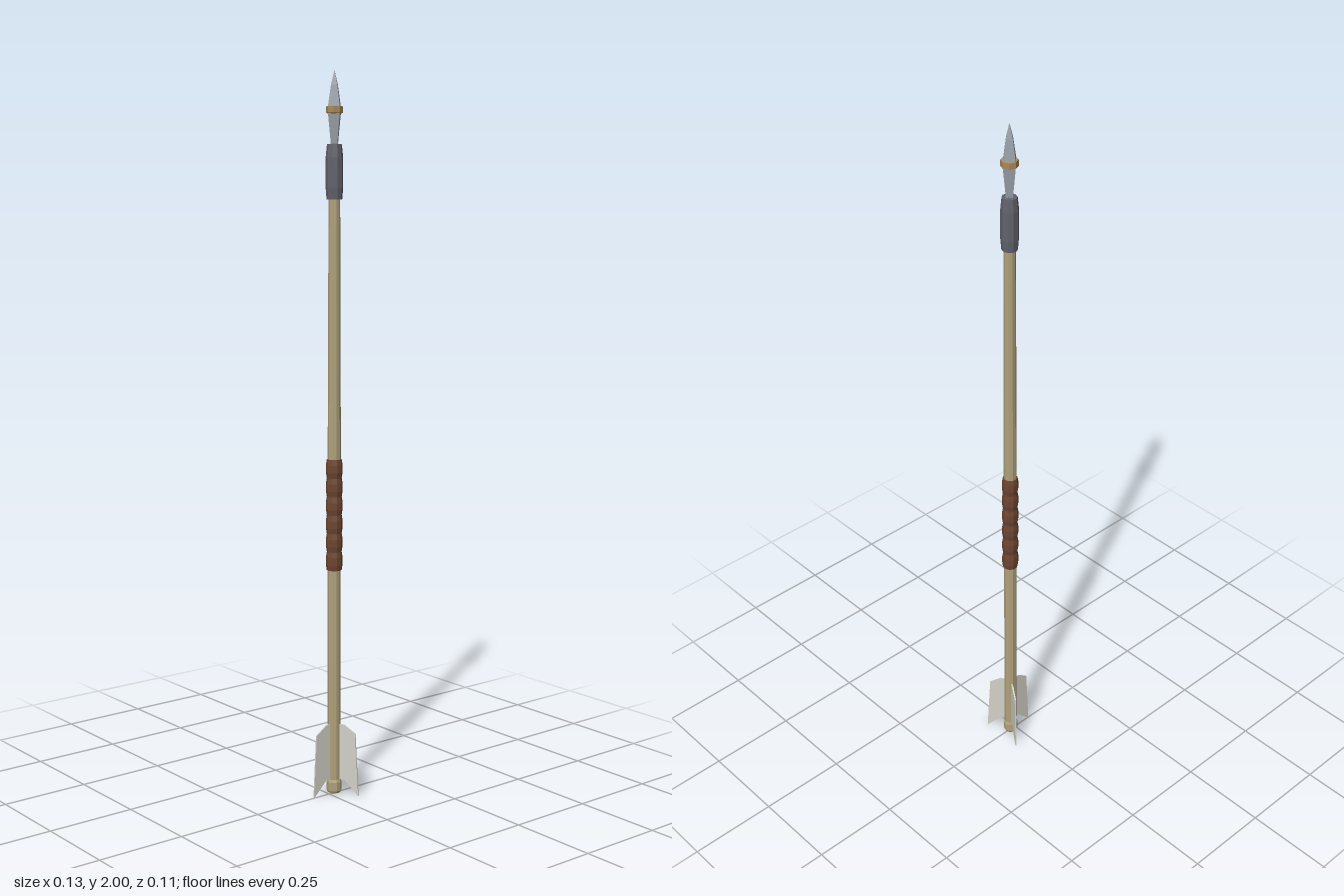
import * as THREE from 'three';

const mat = (color, side = THREE.FrontSide) =>
  new THREE.MeshStandardMaterial({ color, flatShading: true, side });

export function createModel() {
  const model = new THREE.Group();
  model.name = 'arrow';
  const wood = mat(0xb0a27c), leather = mat(0x6e4632), iron = mat(0x62636c);
  const steel = mat(0x98a0a6), cord = mat(0xa88a5c), feather = mat(0xd2d2c8);

  // Turned part from [radius, height] pairs, listed from bottom to top
  const turned = (name, points, sides, material) => {
    const profile = points.map(([r, y]) => new THREE.Vector2(r, y));
    const mesh = new THREE.Mesh(new THREE.LatheGeometry(profile, sides), material);
    mesh.name = name;
    model.add(mesh);
    return mesh;
  };

  turned('shaft', [[0, 0.03], [0.018, 0.03], [0.018, 1.0], [0.0165, 1.45], [0.0155, 1.68], [0, 1.68]], 10, wood);
  turned('nock', [[0, 0.004], [0.018, 0.004], [0.021, 0.01], [0.021, 0.035], [0.018, 0.043]], 10, wood);

  // Leather grip with wound ridges
  const grip = [[0.017, 0.645], [0.021, 0.645]];
  const turns = 6, pitch = 0.31 / turns;
  for (let i = 0; i < turns; i++) {
    const y = 0.645 + i * pitch;
    grip.push([0.023, y + pitch * 0.3], [0.023, y + pitch * 0.7], [0.0205, y + pitch]);
  }
  grip.push([0.017, 0.955]);
  turned('grip', grip, 10, leather);

  // Socket that holds the head
  turned('socket', [[0.014, 1.66], [0.021, 1.66], [0.0235, 1.69], [0.0235, 1.77], [0.02, 1.805], [0, 1.808]], 10, iron);

  // Four-sided point with a narrow waist
  turned('head', [[0.012, 1.80], [0.014, 1.82], [0.022, 1.885], [0.022, 1.905], [0.012, 1.96], [0, 2.0]], 4, steel);
  turned('headBinding', [[0.017, 1.885], [0.0225, 1.887], [0.0225, 1.904], [0.017, 1.906]], 8, cord);

  // Three swept feathers around the shaft
  const outline = new THREE.Shape([
    [0.012, 0.043], [0.03, 0.043], [0.073, 0], [0.0635, 0.18], [0.03, 0.203], [0.012, 0.203],
  ].map(([x, y]) => new THREE.Vector2(x, y)));
  const thickness = 0.004;
  const vane = new THREE.ExtrudeGeometry(outline, { depth: thickness, bevelEnabled: false });
  vane.translate(0, 0, -thickness / 2);
  for (let i = 0; i < 3; i++) {
    const fin = new THREE.Mesh(vane, feather);
    fin.name = 'feather' + (i + 1);
    fin.rotation.y = -Math.PI / 2 + (i * Math.PI * 2) / 3;
    model.add(fin);
  }

  // One feather points forward, so the shaft sits slightly back
  model.children.forEach((part) => { part.position.z = -0.018; });
  return model;
}
